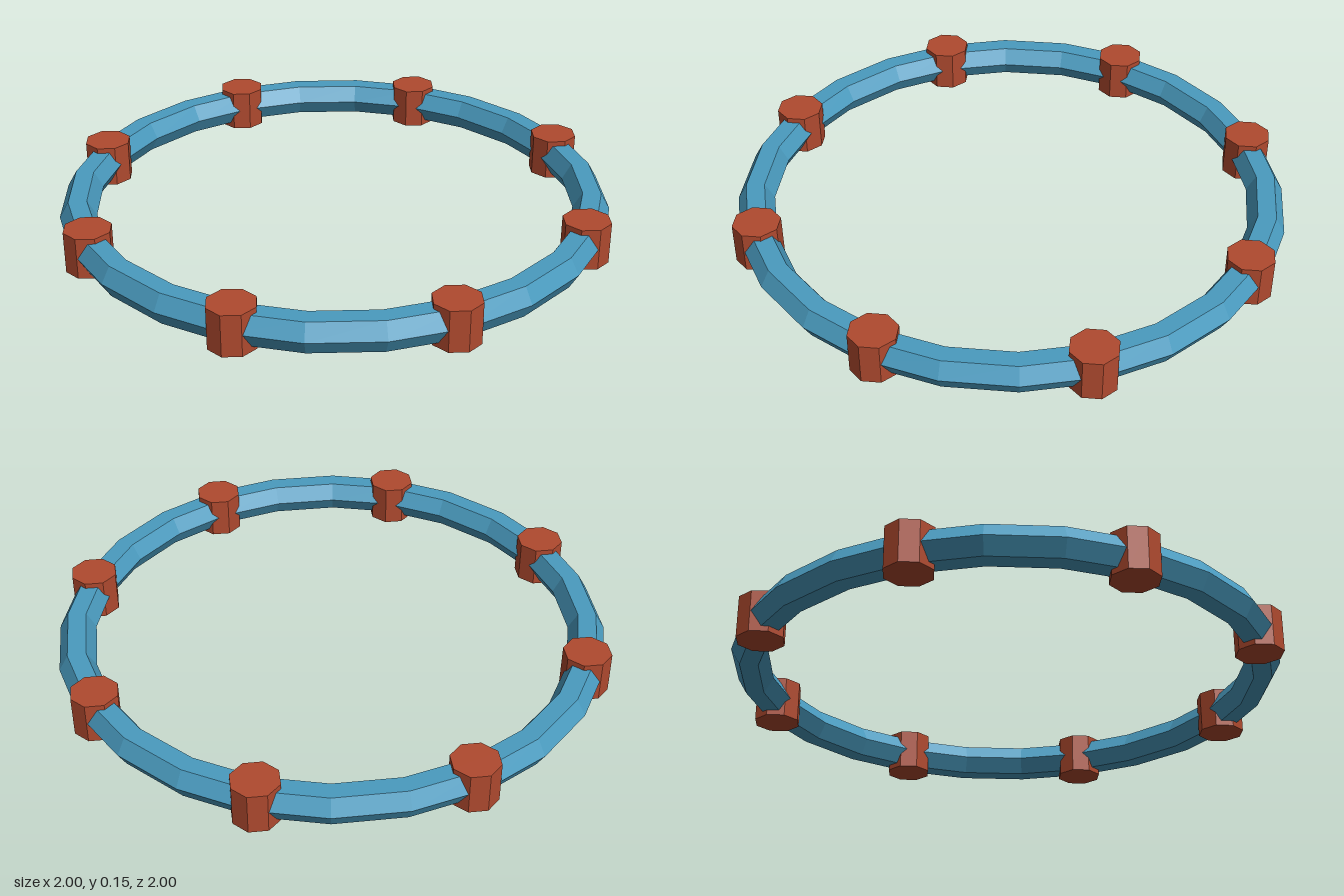
import * as THREE from 'three';

export function createModel() {
  const model = new THREE.Group();
  const blue = new THREE.MeshStandardMaterial({ color: 0x4a9bbf, flatShading: true });
  blue.name = 'blue tube';
  const red = new THREE.MeshStandardMaterial({ color: 0xb04a2f, flatShading: true });
  red.name = 'rust red';

  const ringRadius = 0.915, postRadius = 0.085, height = 0.15;

  // Hexagonal tube bent into a 24-sided ring, lying flat
  const ringGeometry = new THREE.TorusGeometry(ringRadius, 0.065, 6, 24);
  ringGeometry.rotateX(-Math.PI / 2);
  const ring = new THREE.Mesh(ringGeometry, blue);
  ring.name = 'ring';
  ring.position.y = height / 2;
  model.add(ring);

  // Eight upright octagonal posts spaced around the ring
  const posts = new THREE.Group();
  posts.name = 'posts';
  const postGeometry = new THREE.CylinderGeometry(postRadius, postRadius, height, 8);
  for (let i = 0; i < 8; i++) {
    const angle = (i / 8) * Math.PI * 2;
    const post = new THREE.Mesh(postGeometry, red);
    post.name = `post${i + 1}`;
    post.position.set(Math.sin(angle) * ringRadius, height / 2, Math.cos(angle) * ringRadius);
    post.rotation.y = angle;
    posts.add(post);
  }
  model.add(posts);
  return model;
}
